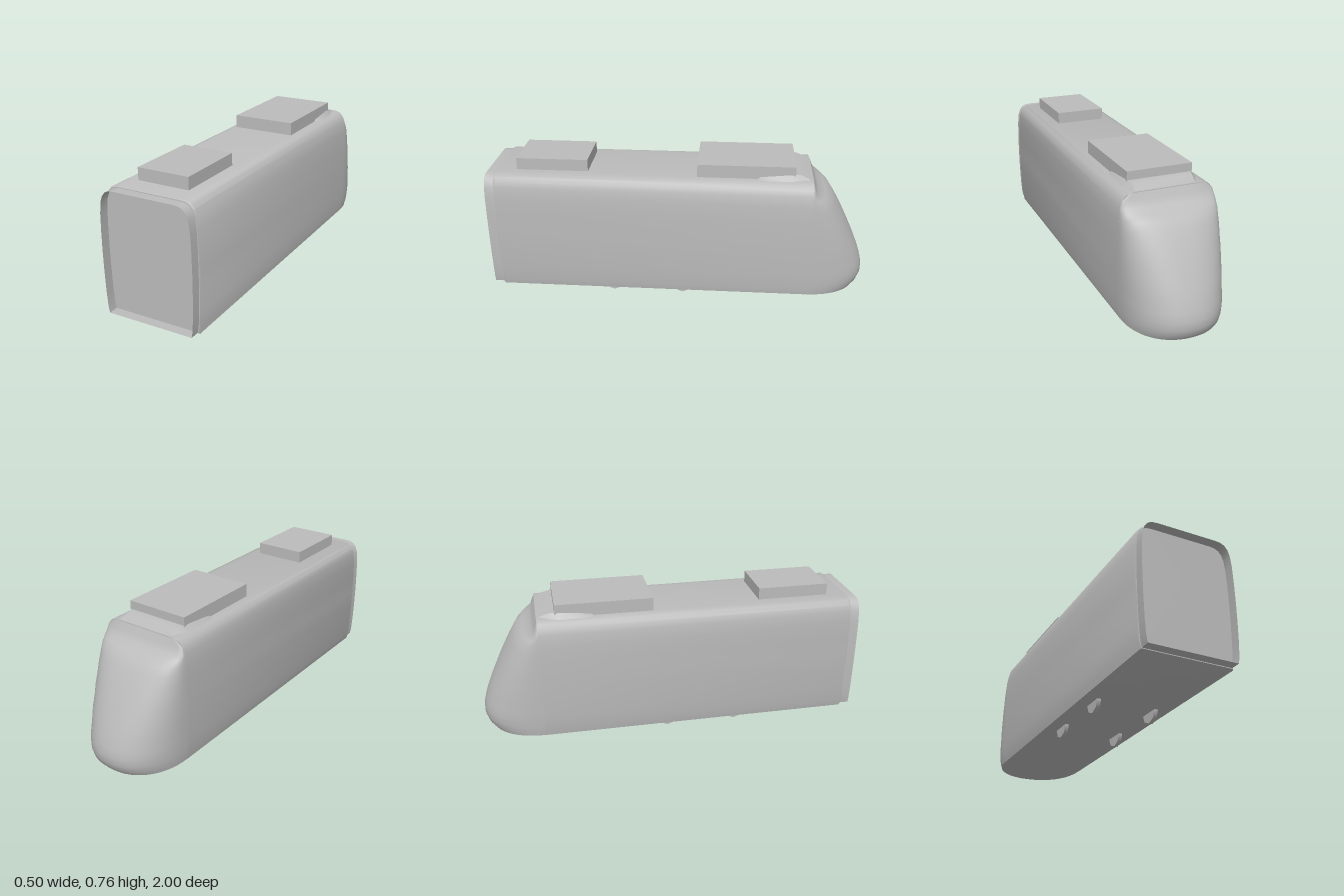
import * as THREE from 'three';
import { toCreasedNormals } from 'three/addons/utils/BufferGeometryUtils.js';

// Half cross-section of the carriage: [half width, height], bottom to top
const PROFILE = [
  [0.235, 0.056], [0.241, 0.09], [0.246, 0.17], [0.249, 0.28], [0.25, 0.38], [0.249, 0.48],
  [0.246, 0.57], [0.239, 0.63], [0.228, 0.66], [0.212, 0.68], [0.19, 0.69], [0.16, 0.693],
];

// Surface through a series of closed rings, with optional flat ends
function loft(rings, capped = true, crease = 0.6) {
  const pos = [];
  const tri = (...pts) => pts.forEach((p) => pos.push(p.x, p.y, p.z));
  const centre = (ring) =>
    ring.reduce((sum, p) => sum.add(p), new THREE.Vector3()).divideScalar(ring.length);
  const n = rings[0].length;
  for (let r = 0; r < rings.length - 1; r++) {
    const a = rings[r], b = rings[r + 1];
    for (let i = 0; i < n; i++) {
      const j = (i + 1) % n;
      tri(a[i], b[i], a[j]);
      tri(a[j], b[i], b[j]);
    }
  }
  if (capped) {
    const first = rings[0], last = rings[rings.length - 1];
    const c0 = centre(first), c1 = centre(last);
    for (let i = 0; i < n; i++) {
      const j = (i + 1) % n;
      tri(c0, first[i], first[j]);
      tri(c1, last[j], last[i]);
    }
  }
  const geometry = new THREE.BufferGeometry();
  geometry.setAttribute('position', new THREE.Float32BufferAttribute(pos, 3));
  return toCreasedNormals(geometry, crease);
}

// Mirrored carriage section at z, shrunk by an inset on every side
function section(z, inset = 0) {
  const half = PROFILE.map(([x, y]) => [
    x * (1 - inset / 0.25),
    0.375 + (y - 0.375) * (1 - inset / 0.32),
  ]);
  const right = half.map(([x, y]) => new THREE.Vector3(x, y, z));
  const left = half.map(([x, y]) => new THREE.Vector3(-x, y, z)).reverse();
  return [...right, ...left];
}

// Half width of the carriage at a height
function widthAt(y) {
  for (let i = 1; i < PROFILE.length; i++) {
    const [x0, y0] = PROFILE[i - 1], [x1, y1] = PROFILE[i];
    if (y <= y1) return THREE.MathUtils.mapLinear(Math.max(y, y0), y0, y1, x0, x1);
  }
  return PROFILE[PROFILE.length - 1][0];
}

export function createModel() {
  const group = new THREE.Group();
  const grey = new THREE.MeshStandardMaterial({ color: 0xbcbcbc, side: THREE.DoubleSide });
  grey.name = 'grey';

  const add = (name, geometry, x = 0, y = 0, z = 0) => {
    const mesh = new THREE.Mesh(geometry, grey);
    mesh.name = name;
    mesh.position.set(x, y, z);
    group.add(mesh);
  };

  // Carriage shell with a small bevel at the coupling end
  add('body', loft([section(0.95, 0.004), section(0.942), section(-0.69)]));

  // Open gangway frame around the recessed end wall
  add('gangway', loft([section(1, 0.008), section(0.945, 0.008)], false));

  // Nose: rounded plan outlines stacked from top to bottom, [height, depth, squareness]
  const noseLevels = [
    [0.69, 0.003, 2.8], [0.66, 0.018, 2.8], [0.625, 0.036, 2.8], [0.605, 0.075, 2.7],
    [0.58, 0.11, 2.6], [0.54, 0.138, 2.5], [0.5, 0.162, 2.5], [0.45, 0.19, 2.4],
    [0.4, 0.215, 2.4], [0.35, 0.239, 2.3], [0.3, 0.262, 2.3], [0.25, 0.283, 2.2],
    [0.2, 0.3, 2.2], [0.16, 0.31, 2.2], [0.12, 0.31, 2.2], [0.085, 0.298, 2.2],
    [0.057, 0.275, 2.2],
  ];
  const steps = 32;
  const noseRings = noseLevels.map(([y, depth, power]) => {
    const w = widthAt(y);
    return Array.from({ length: steps + 1 }, (_, i) => {
      const t = (i / steps) * Math.PI;
      const c = Math.cos(t), s = Math.max(0, Math.sin(t));
      const x = Math.sign(c) * w * Math.abs(c) ** (2 / power);
      return new THREE.Vector3(x, y, -0.69 - depth * s ** (2 / power));
    });
  });
  add('nose', loft(noseRings, true, 0.8));

  // Low fairing that blends the rear roof unit into the nose: [z, half width, height]
  const fairing = [
    [-0.39, 0.165, 0.694], [-0.42, 0.185, 0.706], [-0.48, 0.19, 0.71],
    [-0.58, 0.19, 0.72], [-0.63, 0.175, 0.713], [-0.685, 0.165, 0.692],
  ].map(([z, w, top]) =>
    [[w, 0.68], [w, 0.69], [w * 0.87, top], [-w * 0.87, top], [-w, 0.69], [-w, 0.68]]
      .map(([x, y]) => new THREE.Vector3(x, y, z)));
  add('roofFairing', loft(fairing));

  // Roof equipment boxes
  add('frontRoofUnit', new THREE.BoxGeometry(0.27, 0.07, 0.375), 0, 0.72, 0.6575);
  add('rearRoofUnit', new THREE.BoxGeometry(0.334, 0.075, 0.5), 0, 0.7225, -0.35);

  // Four wheels, half sunk into the floor
  const wheel = new THREE.CylinderGeometry(0.058, 0.058, 0.02, 8).rotateZ(Math.PI / 2);
  for (const z of [0.352, -0.025]) {
    for (const side of [1, -1]) {
      add(side > 0 ? 'leftWheel' : 'rightWheel', wheel, side * 0.157, 0.058, z);
    }
  }
  return group;
}
